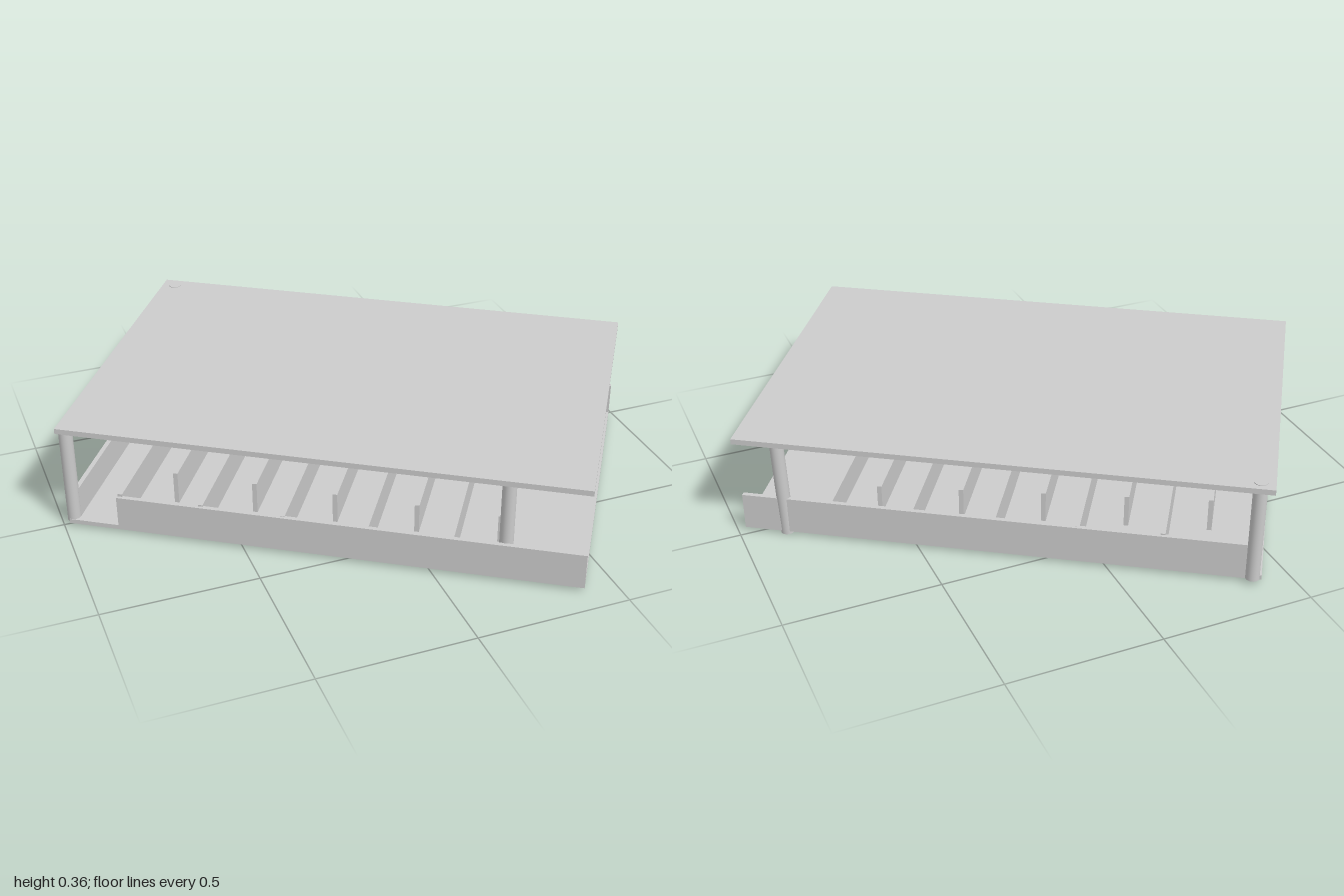
import * as THREE from 'three';

export function createModel() {
  const model = new THREE.Group();
  model.name = 'coveredBaffleTank';
  const tank = new THREE.Group(); // long axis = local x, short axis = local z
  tank.name = 'tank';
  tank.rotation.y = THREE.MathUtils.degToRad(-33.2);
  model.add(tank);

  const material = new THREE.MeshStandardMaterial({ color: 0xcccccc });

  // Box given by its limits on each axis
  function slab(name, [x0, x1], [y0, y1], [z0, z1]) {
    const mesh = new THREE.Mesh(new THREE.BoxGeometry(x1 - x0, y1 - y0, z1 - z0), material);
    mesh.position.set((x0 + x1) / 2, (y0 + y1) / 2, (z0 + z1) / 2);
    mesh.name = name;
    tank.add(mesh);
    return mesh;
  }

  // Round post between two points
  function post(name, bottom, top) {
    const a = new THREE.Vector3(...bottom), b = new THREE.Vector3(...top);
    const dir = b.clone().sub(a);
    const mesh = new THREE.Mesh(new THREE.CylinderGeometry(0.022, 0.022, dir.length(), 24), material);
    mesh.position.copy(a).add(b).multiplyScalar(0.5);
    mesh.quaternion.setFromUnitVectors(new THREE.Vector3(0, 1, 0), dir.normalize());
    mesh.name = name;
    tank.add(mesh);
  }

  // Roof and floor plates
  slab('roof', [-0.832, 0.832], [0.344, 0.362], [-0.552, 0.552]);
  slab('floor', [-0.815, 0.83], [0.011, 0.026], [-0.515, 0.55]);

  // Outer walls: the front one stops short to leave an inlet, the right end is open
  slab('frontWall', [-0.65, 0.83], [0.016, 0.13], [0.535, 0.55]);
  slab('backWall', [-0.8, 0.83], [0.01, 0.133], [-0.515, -0.5]);
  slab('endWall', [-0.8, -0.785], [0.018, 0.13], [-0.515, 0.525]);

  // Staggered baffles, alternately fixed to the front and back walls
  const count = 10;
  for (let i = 0; i < count; i++) {
    const t = i / (count - 1);
    const x = THREE.MathUtils.lerp(-0.64, 0.55, t);
    const y = THREE.MathUtils.lerp(0.024, 0.007, t);
    const span = i % 2 === 0 ? [-0.3 - 0.09 * t, 0.54] : [-0.505, 0.385];
    slab('baffle' + (i + 1), [x - 0.0075, x + 0.0075], [y, y + 0.115], span);
  }

  // Roof posts; the back right one leans slightly
  post('frontLeftPost', [-0.807, 0.015, 0.527], [-0.807, 0.35, 0.527]);
  post('backLeftPost', [-0.787, 0.014, -0.513], [-0.787, 0.364, -0.513]);
  post('frontRightPost', [0.583, 0.014, 0.515], [0.583, 0.35, 0.515]);
  post('backRightPost', [0.695, 0, -0.497], [0.705, 0.35, -0.503]);

  return model;
}
